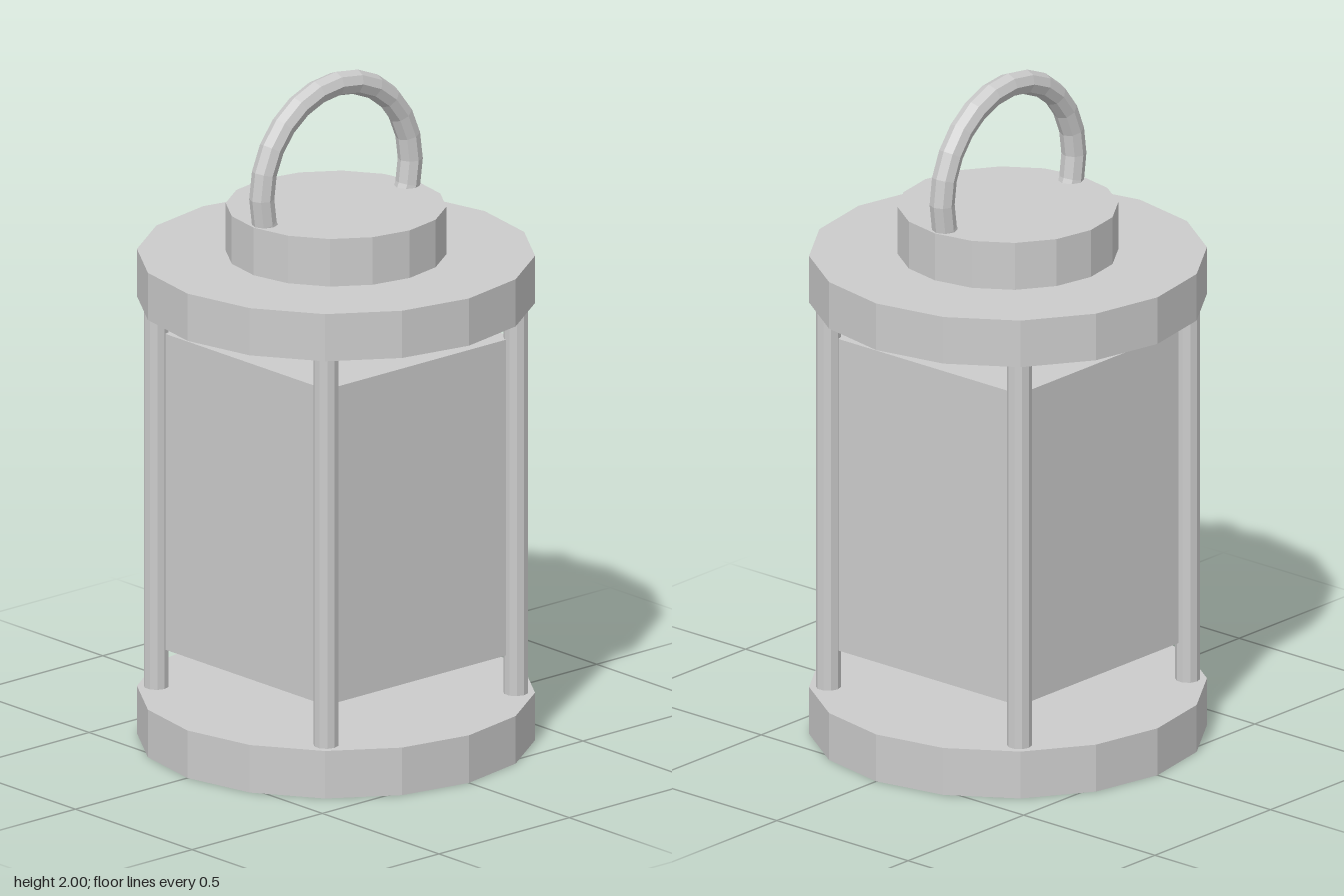
import * as THREE from 'three';

export function createModel() {
  const model = new THREE.Group();
  model.name = 'lantern';
  const material = new THREE.MeshStandardMaterial({ color: 0xcccccc, flatShading: true });

  const add = (name, geometry, x, y, z) => {
    const mesh = new THREE.Mesh(geometry, material);
    mesh.name = name;
    mesh.position.set(x, y, z);
    model.add(mesh);
  };
  // Upright cylinder spanning two heights
  const column = (name, radius, bottom, top, sides, x = 0, z = 0) =>
    add(name, new THREE.CylinderGeometry(radius, radius, top - bottom, sides), x, (bottom + top) / 2, z);

  // Base, roof and cap discs
  column('base', 0.57, 0, 0.143, 16);
  column('roof', 0.57, 1.315, 1.457, 16);
  column('cap', 0.316, 1.457, 1.6, 16);

  // Four corner posts
  for (const x of [-0.364, 0.364]) {
    for (const z of [-0.364, 0.364]) column('post', 0.036, 0.143, 1.315, 10, x, z);
  }

  // Glass body floating between the posts
  add('glassBody', new THREE.BoxGeometry(0.72, 0.95, 0.72), 0, 0.735, 0);

  // Carrying ring, its lower part sunk into the cap
  add('handle', new THREE.TorusGeometry(0.285, 0.036, 8, 24), 0, 1.679, 0);

  return model;
}
